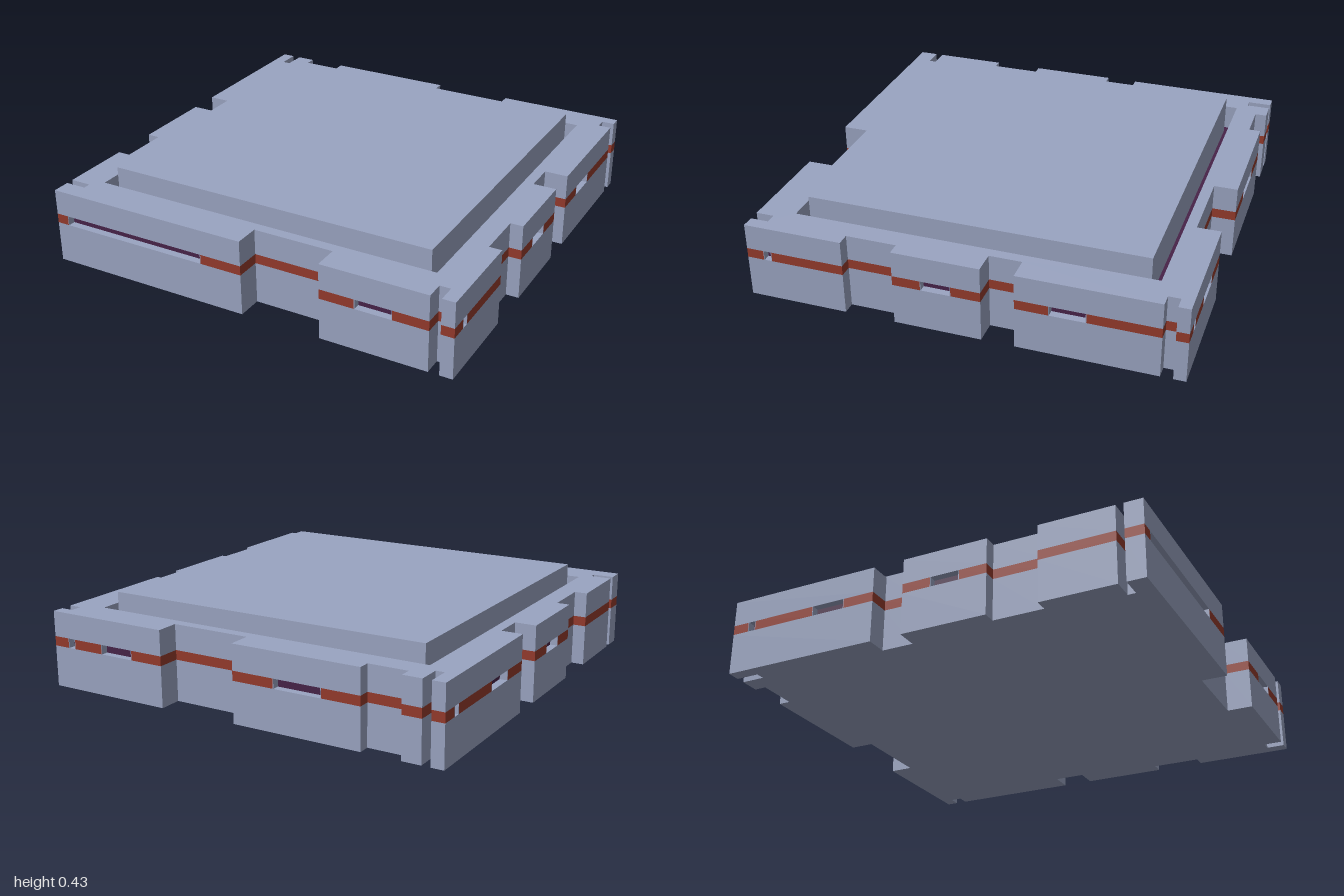
import * as THREE from 'three';

const grey = new THREE.MeshStandardMaterial({ name: 'blueGreyPlate', color: 0x9aa4c1 });
const rust = new THREE.MeshStandardMaterial({ name: 'rustStripe', color: 0x943a2c });
const plum = new THREE.MeshStandardMaterial({ name: 'darkPlum', color: 0x472348 });

const STRIPE_LOW = 0.195, STRIPE_HIGH = 0.24, BODY_TOP = 0.36, PANEL_TOP = 0.43;
const SLOT_DEPTH = 0.04;

// Each side runs anticlockwise seen from above: at(t, inset) gives [x, z].
// Notches are cut through the full height, slots only through the stripe: [t0, t1, depth].
const sides = [
  { // front
    start: -1, at: (t, d) => [t, 1 - d], alongX: true,
    notches: [[0, 0.385, 0.12], [0.89, 0.94, 0.085]],
    slots: [[-0.94, -0.205], [0.55, 0.725]],
  },
  { // left (+x)
    start: 1, at: (t, d) => [1 - d, t], alongX: false,
    notches: [[0.535, 0.3, 0.06], [-0.105, -0.255, 0.11], [-0.89, -0.945, 0.06]],
    slots: [[0.92, 0.88], [0.17, 0.03], [-0.405, -0.57]],
  },
  { // back
    start: 1, at: (t, d) => [t, -1 + d], alongX: true,
    notches: [[0.385, 0, 0.11], [-0.625, -0.81, 0.055], [-0.9, -0.94, 0.11]],
    slots: [[0.92, 0.88], [0.725, 0.55], [-0.205, -0.44]],
  },
  { // right (-x)
    start: -1, at: (t, d) => [-1 + d, t], alongX: false,
    notches: [[-0.255, -0.105, 0.1], [0.3, 0.535, 0.06], [0.88, 0.915, 0.1]],
    slots: [[-0.92, -0.88], [-0.57, -0.405], [0.03, 0.17]],
  },
];

function outline(withSlots) {
  const points = [];
  for (const { start, at, notches, slots } of sides) {
    const cuts = [...notches];
    if (withSlots) cuts.push(...slots.map(([a, b]) => [a, b, SLOT_DEPTH]));
    cuts.sort((p, q) => Math.abs(p[0] - start) - Math.abs(q[0] - start));
    points.push(at(start, 0));
    for (const [a, b, d] of cuts) points.push(at(a, 0), at(a, d), at(b, d), at(b, 0));
  }
  return new THREE.Shape(points.map(([x, z]) => new THREE.Vector2(x, -z)));
}

function slab(name, shape, y0, y1, material) {
  const geometry = new THREE.ExtrudeGeometry(shape, { depth: y1 - y0, bevelEnabled: false });
  geometry.rotateX(-Math.PI / 2);
  geometry.translate(0, y0, 0);
  const mesh = new THREE.Mesh(geometry, material);
  mesh.name = name;
  return mesh;
}

function box(name, x0, x1, y0, y1, z0, z1, material) {
  const mesh = new THREE.Mesh(new THREE.BoxGeometry(x1 - x0, y1 - y0, z1 - z0), material);
  mesh.position.set((x0 + x1) / 2, (y0 + y1) / 2, (z0 + z1) / 2);
  mesh.name = name;
  return mesh;
}

// Box spanning t0..t1 along a side and d0..d1 inward, as tall as the stripe
function sidePlate(name, side, t0, t1, d0, d1, material) {
  const [xa, za] = side.at(t0, d0), [xb, zb] = side.at(t1, d1);
  return box(name, Math.min(xa, xb), Math.max(xa, xb), STRIPE_LOW, STRIPE_HIGH,
    Math.min(za, zb), Math.max(za, zb), material);
}

export function createModel() {
  const model = new THREE.Group();
  model.name = 'notchedHullPlate';

  // Lower hull, and the stripe layer whose top is the dark groove floor
  model.add(slab('lowerHull', outline(false), 0, STRIPE_LOW, grey));
  model.add(slab('stripeLayer', outline(true), STRIPE_LOW, STRIPE_HIGH, [plum, rust]));

  // Upper hull with the opening that leaves a groove around the raised panel
  const upper = outline(false);
  upper.holes.push(new THREE.Path([
    new THREE.Vector2(-0.85, -0.83), new THREE.Vector2(-0.85, 0.84),
    new THREE.Vector2(0.84, 0.84), new THREE.Vector2(0.84, -0.83),
  ]));
  model.add(slab('upperHull', upper, STRIPE_HIGH, BODY_TOP, grey));
  model.add(box('raisedPanel', -0.805, 0.795, STRIPE_HIGH, PANEL_TOP, -0.79, 0.785, grey));

  // Window slots: dark back plate and pale end walls
  const windows = new THREE.Group();
  windows.name = 'windowSlots';
  for (const side of sides) {
    for (const [a, b] of side.slots) {
      const e = 0.003 * Math.sign(b - a);
      windows.add(sidePlate('windowPane', side, a, b, SLOT_DEPTH - 0.005, SLOT_DEPTH, plum));
      windows.add(sidePlate('windowEnd', side, a, a + e, 0, SLOT_DEPTH, grey));
      windows.add(sidePlate('windowEnd', side, b - e, b, 0, SLOT_DEPTH, grey));
    }
  }
  model.add(windows);
  return model;
}
